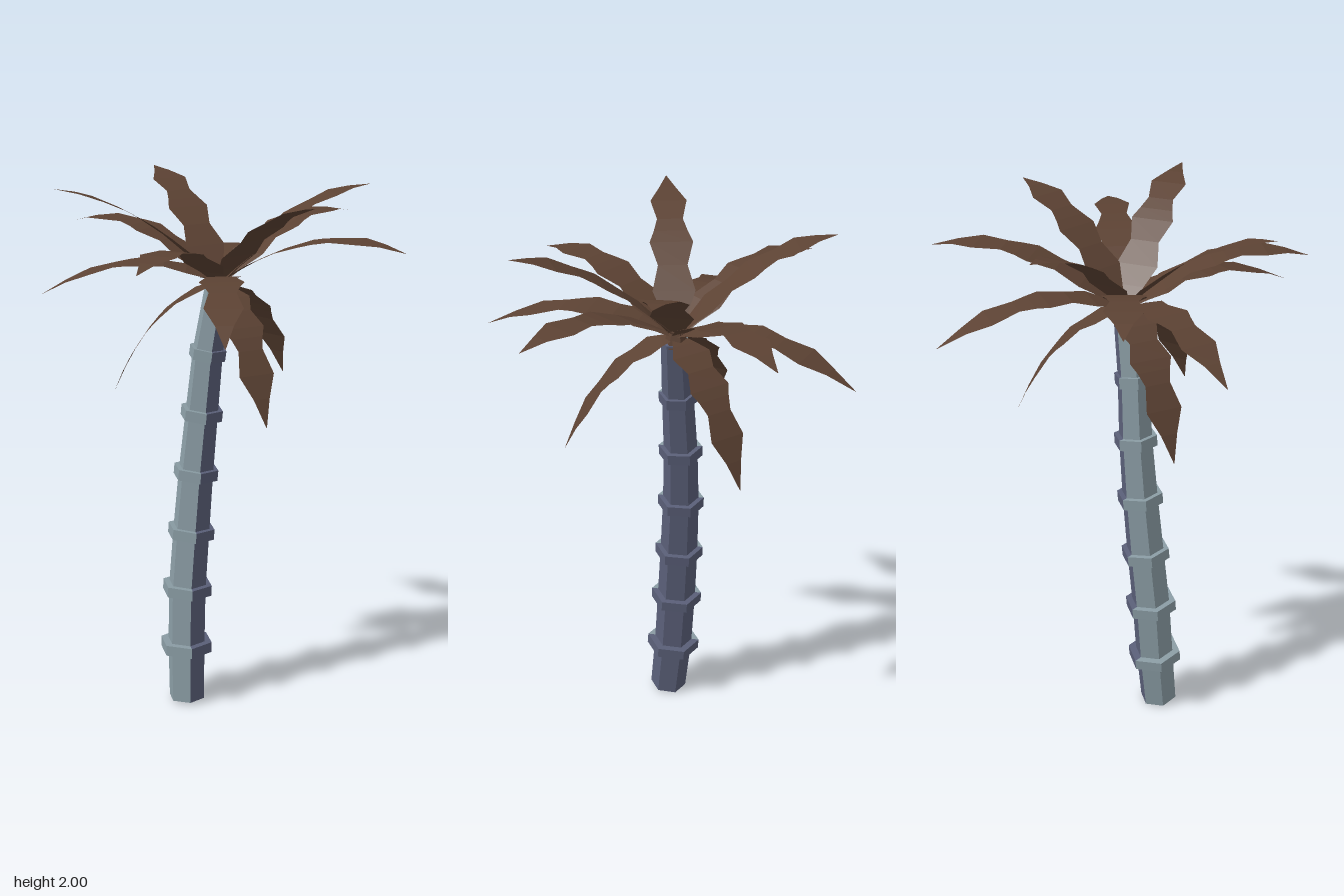
import * as THREE from 'three';

const flat = (name, color, side = THREE.FrontSide) => {
  const m = new THREE.MeshStandardMaterial({ color, flatShading: true, side });
  m.name = name;
  return m;
};

export function createModel() {
  const model = new THREE.Group();
  model.name = 'palmTree';
  const paleBark = flat('paleBark', 0x8a9ca4);
  const slateBark = flat('slateBark', 0x5a5f78);
  const leaf = flat('leafBrown', 0x5c4233, THREE.DoubleSide);
  const UP = new THREE.Vector3(0, 1, 0);

  // Six-sided prism from a to b: slate on the +x half, pale on the -x half
  function hexPrism(name, a, b, ra, rb, bottom) {
    const group = new THREE.Group();
    group.name = name;
    const dir = b.clone().sub(a);
    [slateBark, paleBark].forEach((mat, i) => {
      const geo = new THREE.CylinderGeometry(rb, ra, dir.length(), 3, 1, false, i * Math.PI, Math.PI);
      const half = new THREE.Mesh(geo, [mat, mat, bottom || mat]);
      half.name = name + (i ? 'RightHalf' : 'LeftHalf');
      group.add(half);
    });
    group.position.copy(a).add(b).multiplyScalar(0.5);
    group.quaternion.setFromUnitVectors(UP, dir.normalize());
    model.add(group);
  }

  // Leaning trunk: x, y, z, trunk radius, ring radius
  const joints = [
    [-0.126, 0.004, 0, 0.07, 0],
    [-0.122, 0.22, -0.02, 0.073, 0.102],
    [-0.114, 0.455, -0.033, 0.073, 0.097],
    [-0.095, 0.682, -0.044, 0.071, 0.091],
    [-0.074, 0.915, -0.052, 0.067, 0.086],
    [-0.051, 1.145, -0.052, 0.062, 0.08],
    [-0.03, 1.375, -0.043, 0.057, 0.069],
    [0.008, 1.615, -0.036, 0.05, 0],
  ];
  const at = (i) => new THREE.Vector3(...joints[i].slice(0, 3));
  for (let i = 0; i < joints.length - 1; i++) {
    hexPrism('trunkSegment', at(i), at(i + 1), joints[i][3], joints[i + 1][3], i ? null : paleBark);
    if (i === 0) continue;
    const d = at(i + 1).sub(at(i - 1)).normalize().multiplyScalar(0.02);
    hexPrism('trunkRing', at(i).sub(d), at(i).add(d), joints[i][4], joints[i][4]);
  }

  // Bud at the crown
  const crown = new THREE.Vector3(0.012, 1.63, -0.04);
  const bud = new THREE.Mesh(new THREE.CylinderGeometry(0.025, 0.045, 0.07, 6), leaf);
  bud.name = 'crownBud';
  bud.position.copy(crown);
  model.add(bud);

  // Jagged leaf outline: position along the frond, half width
  const outline = [[0, 0.018], [0.1, 0.045], [0.2, 0.075], [0.33, 0.052], [0.46, 0.077],
    [0.53, 0.06], [0.61, 0.046], [0.75, 0.065], [0.87, 0.03], [1, 0.001]];

  // Frond strip bent along a curve from the crown to its tip
  function frond(name, tip, reach, controlY) {
    const end = new THREE.Vector3(...tip);
    const control = crown.clone().lerp(end, reach).setY(controlY);
    const curve = new THREE.QuadraticBezierCurve3(crown, control, end);
    const side = new THREE.Vector3().subVectors(end, crown).cross(UP).normalize();
    const pos = [], index = [];
    outline.forEach(([t, w], i) => {
      const p = curve.getPoint(t);
      for (const s of [-1, 1]) pos.push(...p.clone().addScaledVector(side, s * w).toArray());
      if (i) {
        const k = i * 2;
        index.push(k - 2, k - 1, k, k - 1, k + 1, k);
      }
    });
    const geo = new THREE.BufferGeometry();
    geo.setAttribute('position', new THREE.Float32BufferAttribute(pos, 3));
    geo.setIndex(index);
    geo.computeVertexNormals();
    const mesh = new THREE.Mesh(geo, leaf);
    mesh.name = name;
    model.add(mesh);
  }

  // Four tiers of fronds, from rising to hanging
  const tiers = [
    ['risingFrond', 0.5, 1.95, [[-0.57, 2, 0.055], [-0.12, 1.97, -0.575], [0.245, 1.98, 0.48], [0.555, 1.965, -0.02]]],
    ['spreadingFrond', 0.52, 1.9, [[-0.44, 1.79, -0.49], [0.605, 1.8, -0.405], [-0.37, 1.79, 0.47], [0.55, 1.8, 0.395]]],
    ['archingFrond', 0.45, 1.8, [[-0.605, 1.585, -0.195], [-0.125, 1.585, 0.65], [0.28, 1.585, -0.655]]],
    ['hangingFrond', 0.62, 1.58, [[0.09, 1.21, 0.35], [-0.355, 1.21, -0.17], [0.32, 1.21, -0.29]]],
  ];
  for (const [name, reach, controlY, tips] of tiers) {
    for (const tip of tips) frond(name, tip, reach, controlY);
  }
  return model;
}
